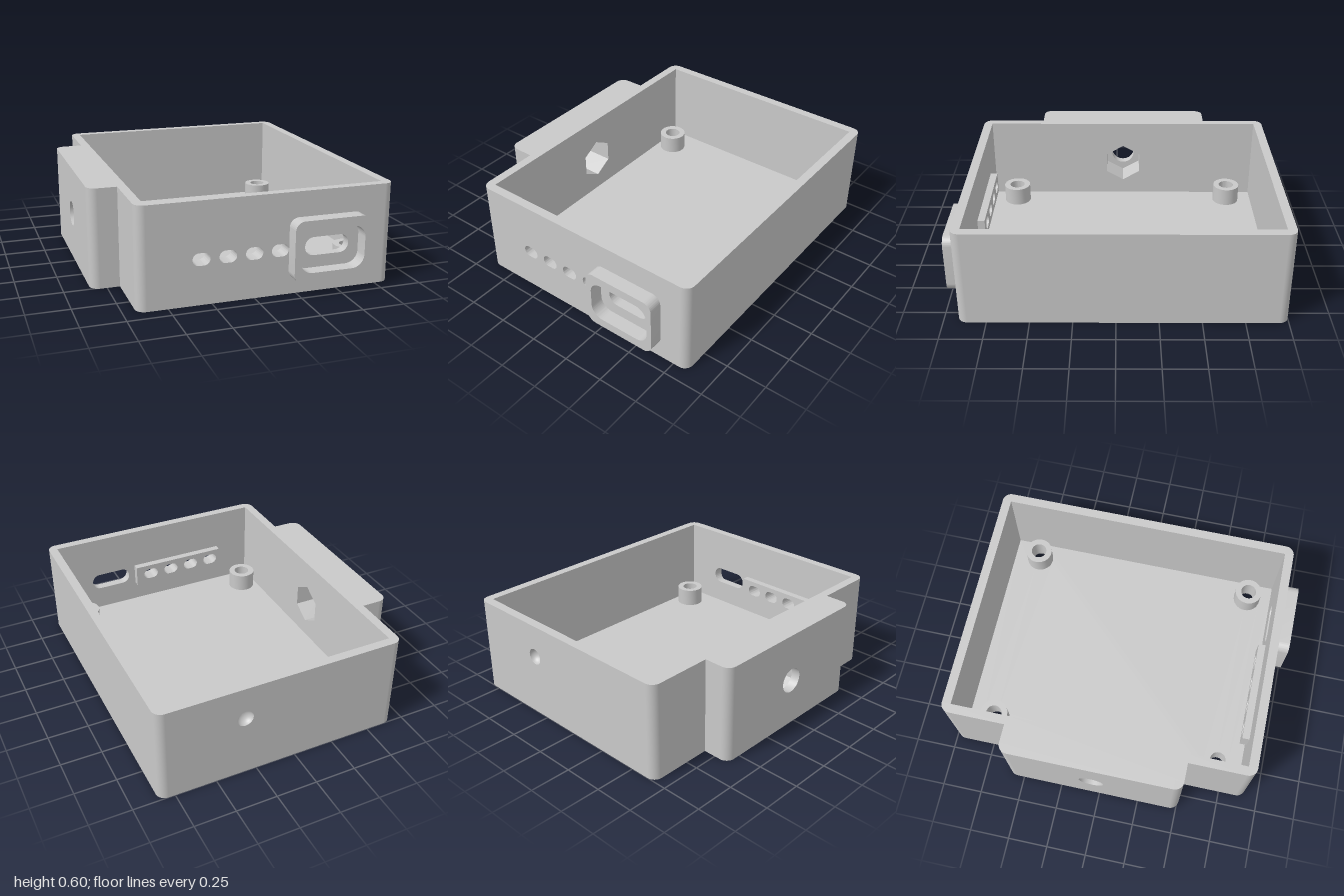
import * as THREE from 'three';
import { toCreasedNormals } from 'three/addons/utils/BufferGeometryUtils.js';

// Outer wall planes and shared sizes
const L = -0.675, R = 0.845, B = -1, F = 0.916, H = 0.598, T = 0.055, FLOOR = 0.063;
const SIDE = -0.845, SIDE_B = -0.6, SIDE_F = 0.51;

// Rounded rectangle from its corner coordinates
function rect(x0, y0, x1, y1, r = 0, path = new THREE.Shape()) {
  if (!r) {
    path.moveTo(x0, y0).lineTo(x1, y0).lineTo(x1, y1).lineTo(x0, y1);
  } else {
    path.absarc(x1 - r, y0 + r, r, -Math.PI / 2, 0);
    path.absarc(x1 - r, y1 - r, r, 0, Math.PI / 2);
    path.absarc(x0 + r, y1 - r, r, Math.PI / 2, Math.PI);
    path.absarc(x0 + r, y0 + r, r, Math.PI, Math.PI * 1.5);
  }
  path.closePath();
  return path;
}
const hole = (x0, y0, x1, y1, r) => rect(x0, y0, x1, y1, r, new THREE.Path());
const circle = (x, y, r) => new THREE.Path().absarc(x, y, r, 0, Math.PI * 2);

function hexagon(x, y, r) {
  const pts = [];
  for (let i = 0; i < 6; i++) {
    const a = Math.PI / 6 + i * Math.PI / 3;
    pts.push(new THREE.Vector2(x + r * Math.cos(a), y + r * Math.sin(a)));
  }
  return new THREE.Path(pts);
}

export function createModel() {
  const model = new THREE.Group();
  model.name = 'electronicsEnclosure';
  const gray = new THREE.MeshStandardMaterial({ color: 0xc9c9c9 });
  gray.name = 'gray';

  function add(name, geometry) {
    const mesh = new THREE.Mesh(geometry, gray);
    mesh.name = name;
    model.add(mesh);
  }

  // Panel extruded from a to b along an axis; 'x' uses (-z, y), 'y' uses (x, -z), 'z' uses (x, y)
  function panel(name, axis, a, b, shape, holes = []) {
    shape.holes.push(...holes);
    const g = new THREE.ExtrudeGeometry(shape, { depth: b - a, bevelEnabled: false, curveSegments: 16 });
    g.translate(0, 0, a);
    if (axis === 'x') g.rotateY(Math.PI / 2);
    if (axis === 'y') g.rotateX(-Math.PI / 2);
    add(name, toCreasedNormals(g, 0.6));
  }

  // Quarter-round vertical corner
  function corner(name, x, z, quadrant) {
    const g = new THREE.CylinderGeometry(T, T, H, 10, 1, false, quadrant * Math.PI / 2, Math.PI / 2);
    add(name, g.translate(x, H / 2, z));
  }

  const x0 = L + T, x1 = R - T, z0 = B + T, z1 = F - T;

  // Floor, with standoffs set into it that leave a counterbore underneath
  const screws = [];
  for (const x of [-0.515, 0.68]) for (const z of [-0.77, 0.7]) screws.push([x, z]);
  panel('floor', 'y', 0, FLOOR, rect(x0, -z1, x1, -z0), screws.map(([x, z]) => circle(x, -z, 0.088)));
  for (const [x, z] of screws) {
    const ring = new THREE.Shape().absarc(x, -z, 0.088, 0, Math.PI * 2);
    panel('standoff', 'y', 0.043, 0.18, ring, [circle(x, -z, 0.05)]);
  }

  // Main corners
  corner('frontRightCorner', x1, z1, 0);
  corner('backRightCorner', x1, z0, 1);
  corner('backLeftCorner', x0, z0, 2);
  corner('frontLeftCorner', x0, z1, 3);

  // Plain side walls
  panel('rightWall', 'x', x1, R, rect(-z1, 0, -z0, H));
  panel('leftWallBack', 'x', L, x0, rect(-SIDE_B, 0, -z0, H));
  panel('leftWallFront', 'x', L, x0, rect(-z1, 0, -SIDE_F, H));

  // Back wall with a round dimple, closed on the inside
  const dx = 0.324, dy = 0.392, dr = 0.05;
  panel('backWall', 'z', B, z0, rect(x0, 0, x1, H), [circle(dx, dy, dr)]);
  add('dimpleCover', new THREE.CircleGeometry(dr, 32).translate(dx, dy, z0));
  const bowl = [];
  for (let i = 0; i <= 8; i++) {
    const a = i / 8 * Math.PI / 2;
    bowl.push(new THREE.Vector2(dr * Math.cos(a), -0.045 * Math.sin(a)));
  }
  add('dimple', new THREE.LatheGeometry(bowl, 32).rotateX(-Math.PI / 2).translate(dx, dy, B));

  // Front wall with indicator slots and connector slot
  const slots = () => [-0.311, -0.157, -0.003, 0.15].map(
    (x) => hole(x - 0.051, 0.229, x + 0.051, 0.302, 0.036));
  panel('frontWall', 'z', z1, F, rect(x0, 0, x1, H),
    [...slots(), hole(0.3, 0.215, 0.568, 0.323, 0.053)]);
  panel('indicatorBacking', 'z', z1 - 0.045, z1, rect(-0.385, 0.195, 0.256, 0.333), slots());
  panel('connectorBezel', 'z', F, 1, rect(0.203, 0.088, 0.661, 0.449, 0.055),
    [hole(0.237, 0.143, 0.63, 0.395, 0.075)]);

  // Side block: hex nut pocket inside, round bolt hole outside
  const cz = 0.045, cy = 0.297;
  panel('nutPocket', 'x', SIDE + T, x0, rect(-SIDE_F, 0, -SIDE_B, H), [hexagon(cz, cy, 0.132)]);
  panel('sideBlockFace', 'x', SIDE, SIDE + T, rect(-SIDE_F + T, 0, -SIDE_B - T, H), [circle(cz, cy, 0.077)]);
  corner('sideBlockBackCorner', SIDE + T, SIDE_B + T, 2);
  corner('sideBlockFrontCorner', SIDE + T, SIDE_F - T, 3);

  return model;
}
